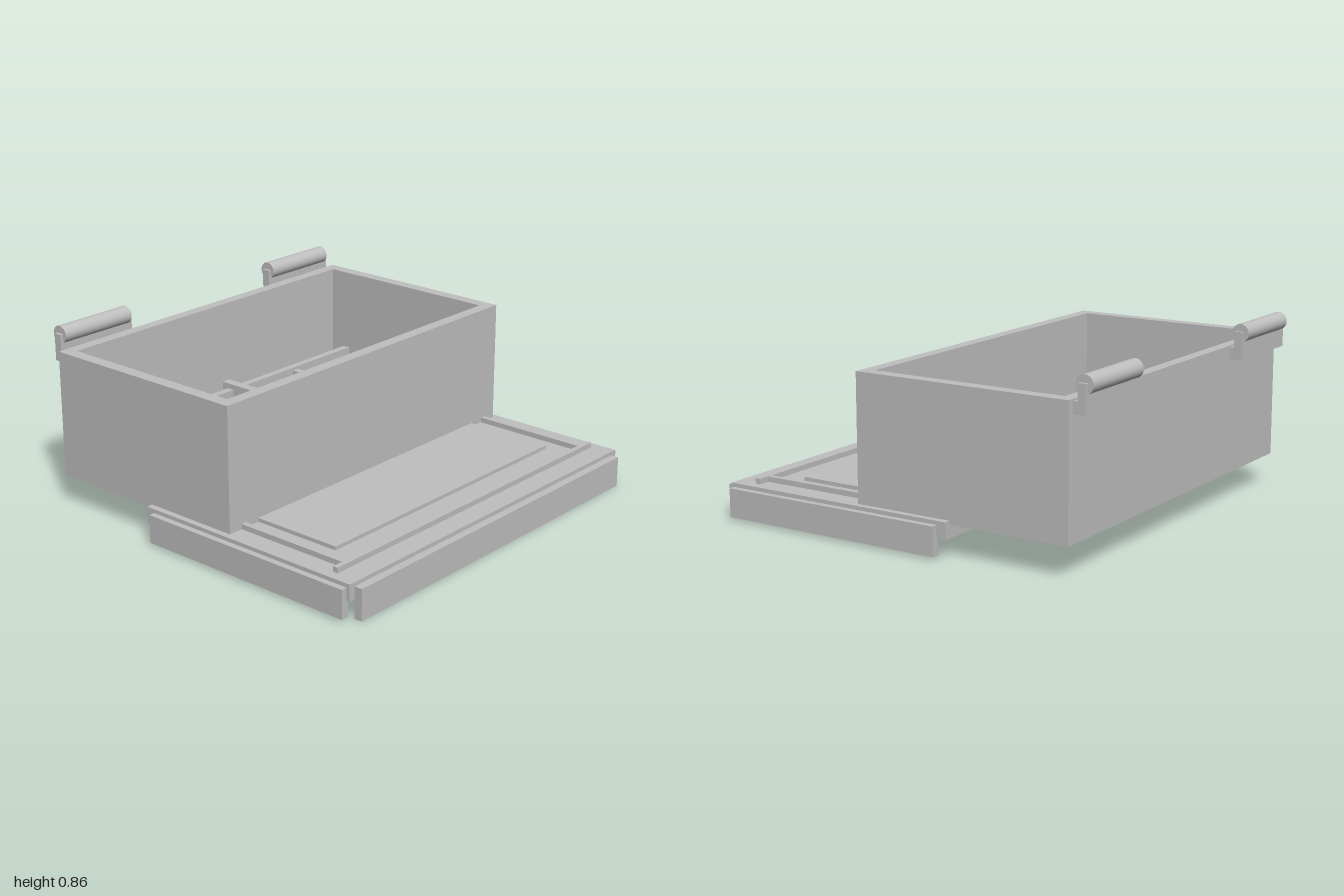
import * as THREE from 'three';

const grey = new THREE.MeshStandardMaterial({ color: 0xbfbfbf });
grey.name = 'grey';

// Box given by its extents on each axis
function block(parent, name, [x0, x1], [y0, y1], [z0, z1]) {
  const mesh = new THREE.Mesh(new THREE.BoxGeometry(x1 - x0, y1 - y0, z1 - z0), grey);
  mesh.position.set((x0 + x1) / 2, (y0 + y1) / 2, (z0 + z1) / 2);
  mesh.name = name;
  parent.add(mesh);
}

// Round bar lying along x
function bar(parent, name, radius, length, x, y, z) {
  const mesh = new THREE.Mesh(new THREE.CylinderGeometry(radius, radius, length, 40), grey);
  mesh.rotation.z = Math.PI / 2;
  mesh.position.set(x, y, z);
  mesh.name = name;
  parent.add(mesh);
}

function group(parent, name) {
  const g = new THREE.Group();
  g.name = name;
  parent.add(g);
  return g;
}

// Rectangle path, clockwise or not does not matter for holes
function rect(target, x0, x1, y0, y1) {
  target.moveTo(x0, y0);
  target.lineTo(x1, y0);
  target.lineTo(x1, y1);
  target.lineTo(x0, y1);
  target.closePath();
  return target;
}

export function createModel() {
  const model = new THREE.Group();
  model.name = 'openChest';

  // Chest: walls as one hollow extrusion, then the floor
  const chest = group(model, 'chest');
  const outline = rect(new THREE.Shape(), -0.94, 0.94, -0.205, 0.865);
  outline.holes.push(rect(new THREE.Path(), -0.88, 0.88, -0.147, 0.81));
  const wallGeometry = new THREE.ExtrudeGeometry(outline, { depth: 0.606, bevelEnabled: false });
  wallGeometry.rotateX(-Math.PI / 2);
  const walls = new THREE.Mesh(wallGeometry, grey);
  walls.position.y = 0.147;
  walls.name = 'walls';
  chest.add(walls);
  block(chest, 'floor', [-0.88, 0.88], [0.147, 0.205], [-0.81, 0.147]);
  block(chest, 'floorPad', [-0.85, 0.85], [0.205, 0.225], [-0.757, 0.126]);

  // Divider grid inside the chest
  const dividers = group(chest, 'dividers');
  for (const z of [-0.683, -0.4, -0.048])
    block(dividers, 'longDivider', [-0.84, 0.84], [0.225, 0.365], [z - 0.018, z + 0.018]);
  block(dividers, 'centreDivider', [-0.023, 0.023], [0.225, 0.39], [-0.735, 0.105]);
  for (const x of [-0.43, 0.427])
    for (const span of [[-0.665, -0.418], [-0.355, -0.088]])
      block(dividers, 'shortDivider', [x - 0.018, x + 0.018], [0.225, 0.35], span);

  // Hinges on the back wall
  for (const side of [-1, 1]) {
    const x = side * 0.69;
    const hinge = group(model, side > 0 ? 'leftHinge' : 'rightHinge');
    block(hinge, 'hingeFoot', [x - 0.218, x + 0.218], [0.69, 0.745], [-0.925, -0.86]);
    block(hinge, 'hingeLeaf', [x - 0.218, x + 0.218], [0.745, 0.82], [-0.925, -0.885]);
    bar(hinge, 'hingeBarrel', 0.042, 0.405, x, 0.813, -0.908);
  }

  // Lid slab with hanging rims
  const lid = group(model, 'lid');
  block(lid, 'slab', [-0.97, 0.97], [0.087, 0.165], [-0.28, 0.91]);
  block(lid, 'frontRim', [-0.94, 0.94], [0, 0.147], [0.912, 0.95]);
  for (const side of [-1, 1]) {
    const xs = side > 0 ? [0.963, 1] : [-1, -0.963];
    block(lid, 'sideRim', xs, [0.012, 0.147], [-0.235, 0.895]);
    // Side mouldings on the lid face
    const ms = side > 0 ? [0.842, 0.868] : [-0.868, -0.842];
    block(lid, 'sideMoulding', ms, [0.165, 0.19], [-0.1, 0.78]);
  }
  block(lid, 'frontMoulding', [-0.923, 0.923], [0.165, 0.19], [0.78, 0.805]);
  block(lid, 'raisedPanel', [-0.763, 0.763], [0.165, 0.183], [-0.02, 0.653]);

  // Round latch along the back edge of the lid
  block(lid, 'latchMount', [-0.4, 0.4], [0.115, 0.15], [-0.305, -0.28]);
  bar(lid, 'latchBar', 0.042, 0.81, 0, 0.145, -0.326);

  return model;
}
